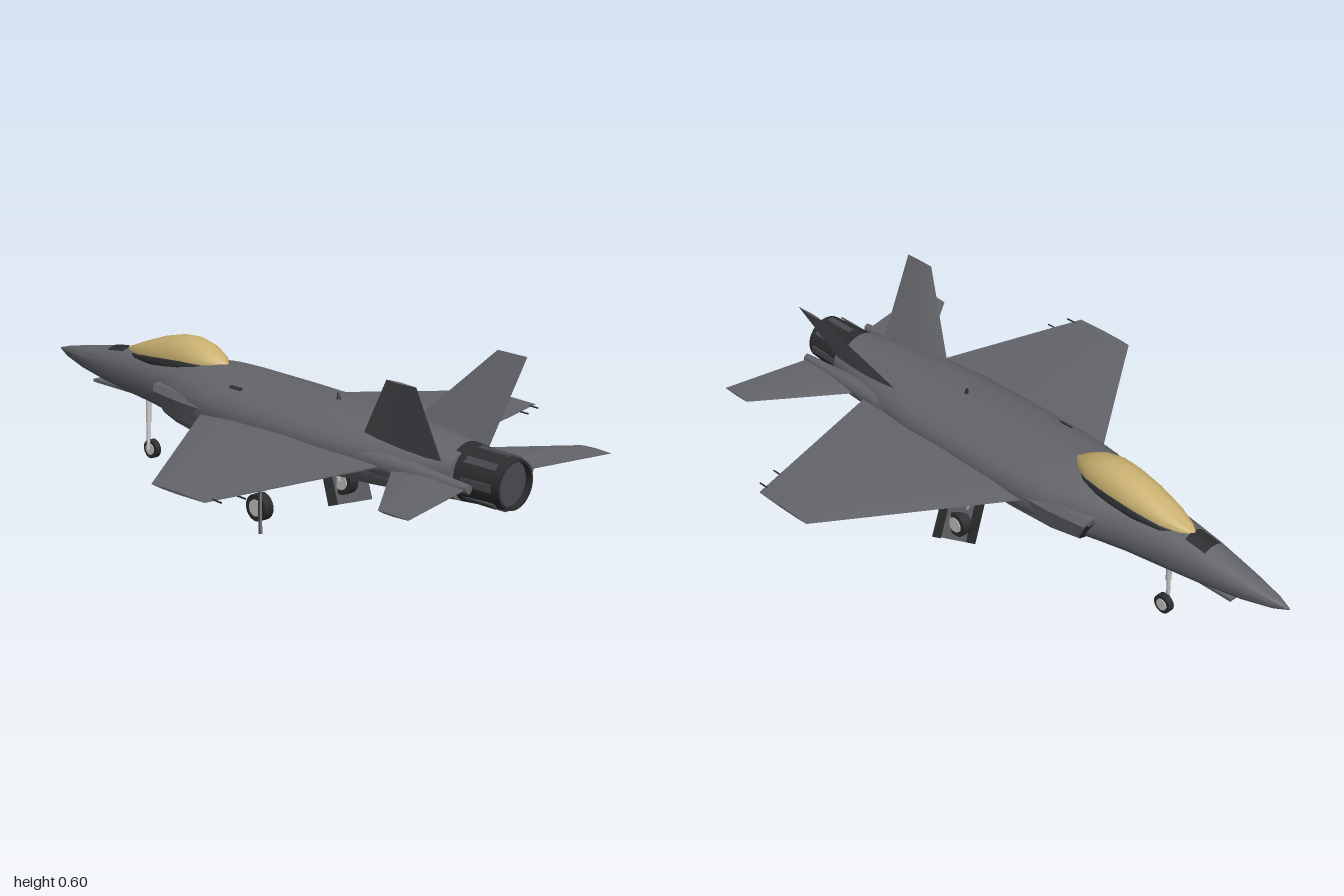
import * as THREE from 'three';
import { toCreasedNormals } from 'three/addons/utils/BufferGeometryUtils.js';

const V = (x, y, z) => new THREE.Vector3(x, y, z);
const paint = (name, color) => Object.assign(new THREE.MeshStandardMaterial({ color }), { name });

// Skin a list of rings (each a loop of Vector3) and close both ends
function loft(rings, crease = 0.6) {
  const n = rings[0].length, pos = [], idx = [];
  rings.forEach(r => r.forEach(p => pos.push(p.x, p.y, p.z)));
  for (let i = 0; i < rings.length - 1; i++)
    for (let j = 0; j < n; j++) {
      const a = i * n + j, b = i * n + (j + 1) % n;
      idx.push(a, b, a + n, b, b + n, a + n);
    }
  [0, rings.length - 1].forEach((k, end) => {
    const c = rings[k].reduce((s, p) => s.add(p), V(0, 0, 0)).divideScalar(n);
    const ci = pos.length / 3;
    pos.push(c.x, c.y, c.z);
    for (let j = 0; j < n; j++) {
      const a = k * n + j, b = k * n + (j + 1) % n;
      end ? idx.push(ci, a, b) : idx.push(ci, b, a);
    }
  });
  // turn the faces outward when the loop runs the other way
  const at = i => V(pos[3 * i], pos[3 * i + 1], pos[3 * i + 2]);
  const mid = at(pos.length / 3 - 1);
  let volume = 0;
  for (let i = 0; i < idx.length; i += 3)
    volume += at(idx[i]).sub(mid).dot(at(idx[i + 1]).sub(mid).cross(at(idx[i + 2]).sub(mid)));
  if (volume < 0) idx.reverse();
  const g = new THREE.BufferGeometry();
  g.setAttribute('position', new THREE.Float32BufferAttribute(pos, 3));
  g.setIndex(idx);
  return toCreasedNormals(g, crease);
}

// Rounded cross-section facing z; up and down are heights from y
function ring(x, y, z, hw, up, down = up, nUp = 2, nDown = 2, count = 36) {
  const pw = (v, n) => Math.sign(v) * Math.abs(v) ** (2 / n);
  return Array.from({ length: count }, (_, i) => {
    const a = i / count * Math.PI * 2, s = Math.sin(a), n = s > 0 ? nUp : nDown;
    return V(x + hw * pw(Math.cos(a), n), y + (s > 0 ? up : down) * pw(s, n), z);
  });
}

// Tapered lifting surface; each station is [x, y, leading z, trailing z, thickness]
function foil(stations, nx, ny) {
  return loft(stations.map(([x, y, le, te, t]) =>
    [[0, 0], [0.2, 0.4], [0.5, 0.5], [1, 0.08], [1, -0.08], [0.5, -0.5], [0.2, -0.4]].map(([u, v]) =>
      V(x + nx * v * t, y + ny * v * t, le + (te - le) * u))), 0.35);
}

// Thin plate from four corners
function plate(a, b, c, d, t = 0.006) {
  const n = b.clone().sub(a).cross(d.clone().sub(a)).normalize().multiplyScalar(t / 2);
  const edge = (p, q) => [p.clone().add(n), q.clone().add(n), q.clone().sub(n), p.clone().sub(n)];
  return loft([edge(a, b), edge(d, c)]);
}

function rod(a, b, r0, r1 = r0) {
  const d = b.clone().sub(a), m = a.clone().add(b).multiplyScalar(0.5);
  const g = new THREE.CylinderGeometry(r1, r0, d.length(), 10);
  g.applyQuaternion(new THREE.Quaternion().setFromUnitVectors(V(0, 1, 0), d.normalize()));
  return g.translate(m.x, m.y, m.z);
}

export function createModel() {
  const model = new THREE.Group();
  const grey = paint('hull grey', 0x63656a), dark = paint('dark trim', 0x2c2d2f);
  const gold = paint('canopy gold', 0xc9b070), metal = paint('bare metal', 0xc6c6c4);
  const soot = paint('exhaust grey', 0x4a4b4f);
  const add = (name, geo, mat) => {
    const m = new THREE.Mesh(geo, mat);
    m.name = name;
    model.add(m);
    return m;
  };

  // Fuselage: z, half width, top, bottom
  const hull = [
    [-1, 0.002, 0.322, 0.318], [-0.95, 0.02, 0.337, 0.3], [-0.85, 0.042, 0.356, 0.28],
    [-0.7, 0.066, 0.384, 0.262], [-0.6, 0.079, 0.395, 0.254], [-0.45, 0.1, 0.406, 0.245],
    [-0.36, 0.12, 0.415, 0.239], [-0.2, 0.162, 0.425, 0.23], [-0.1, 0.174, 0.425, 0.223],
    [0.1, 0.178, 0.421, 0.215], [0.4, 0.176, 0.412, 0.215], [0.55, 0.16, 0.405, 0.22],
    [0.7, 0.128, 0.398, 0.227], [0.84, 0.1, 0.388, 0.237]];
  add('fuselage', loft(hull.map(([z, w, t, b]) => ring(0, 0.32, z, w, t - 0.32, 0.32 - b, 2.1, 2.8))), grey);

  // Dark sensor panel ahead of the canopy
  const strip = (z, top) => {
    const xs = [-0.034, -0.017, 0, 0.017, 0.034];
    const over = xs.map(x => V(x, top - x * x * 9 + 0.004, z));
    return [...over, ...over.map(p => V(p.x, p.y - 0.008, z)).reverse()];
  };
  add('nosePanel', loft([strip(-0.71, 0.382), strip(-0.635, 0.391)]), dark);

  // Canopy: z, half width, sill height, top
  const glass = [
    [-0.645, 0.004, 0.388, 0.393], [-0.61, 0.028, 0.39, 0.406], [-0.55, 0.05, 0.394, 0.43],
    [-0.46, 0.065, 0.4, 0.462], [-0.38, 0.07, 0.405, 0.482], [-0.32, 0.07, 0.41, 0.486],
    [-0.26, 0.062, 0.414, 0.474], [-0.21, 0.042, 0.417, 0.45], [-0.17, 0.005, 0.42, 0.425]];
  add('canopy', loft(glass.map(([z, w, y, t]) => ring(0, y, z, w, t - y, 0.02))), gold);
  add('canopyFrame', loft(glass.map(([z, w, y, t]) =>
    ring(0, y - 0.012, z * 1.015 + 0.006, w * 1.1, (t - y) * 0.55 + 0.006, 0.03))), dark);

  // Engine nozzle with petals
  const lathe = (pts, sides) => new THREE.LatheGeometry(pts.map(p => new THREE.Vector2(...p)), sides)
    .rotateX(Math.PI / 2).translate(0, 0.312, 0);
  add('nozzle', toCreasedNormals(lathe([[0.086, 0.82], [0.081, 0.88], [0.073, 0.995], [0.066, 0.995], [0.066, 0.97]], 32), 0.6), dark);
  add('exhaustDisc', new THREE.CircleGeometry(0.068, 32).translate(0, 0.312, 0.975), soot);
  for (let i = 0; i < 16; i += 2) {
    const petal = add('nozzlePetal', new THREE.BoxGeometry(0.022, 0.006, 0.11), soot);
    const a = i / 16 * Math.PI * 2;
    petal.position.set(0.079 * Math.cos(a), 0.312 + 0.079 * Math.sin(a), 0.915);
    petal.rotation.z = a - Math.PI / 2;
  }

  // Wheel with its axle along x
  const wheel = (name, x, y, z, r, w) => {
    add(name + 'Tire', new THREE.CylinderGeometry(r, r, w, 24).rotateZ(Math.PI / 2).translate(x, y, z), dark);
    add(name + 'Hub', new THREE.CylinderGeometry(r * 0.62, r * 0.62, w + 0.006, 20).rotateZ(Math.PI / 2).translate(x, y, z), metal);
  };

  for (const s of [1, -1]) {
    add('wing', foil([[s * 0.1, 0.315, -0.158, 0.64, 0.036], [s * 0.18, 0.313, -0.1, 0.62, 0.032],
      [s * 0.69, 0.298, 0.27, 0.49, 0.007]], 0, 1), grey);
    add('tailplane', foil([[s * 0.11, 0.314, 0.64, 0.925, 0.02], [s * 0.425, 0.31, 0.88, 0.99, 0.006]], 0, 1), grey);
    add('fin', foil([[s * 0.1, 0.36, 0.505, 0.81, 0.016], [s * 0.23, 0.6, 0.72, 0.83, 0.006]], 0.88, -s * 0.47), grey);

    // Boom carrying the tailplane
    add('tailBoom', loft([[0.35, 0.03], [0.55, 0.034], [0.75, 0.027], [0.85, 0.018], [0.94, 0.012]].map(([z, r]) =>
      ring(s * 0.13, 0.315, z, r, r * 1.1, r * 1.1, 2, 2, 16))), grey);

    // Air intake with raked lip
    const duct = (z, out, top, bottom, rake) => [
      [0.06, top + 0.005], [out - 0.015, top], [out, top - 0.02], [out - 0.012, bottom + 0.035],
      [out - 0.045, bottom], [0.06, bottom]].map(([x, y]) => V(s * x, y, z + (top - y) * rake));
    add('intake', loft([duct(-0.36, 0.154, 0.352, 0.236, 0.6), duct(-0.22, 0.17, 0.35, 0.228, 0.3),
      duct(-0.02, 0.174, 0.345, 0.222, 0)], 0.4), grey);
    add('intakeMouth', plate(V(s * 0.112, 0.342, -0.357), V(s * 0.144, 0.336, -0.354),
      V(s * 0.13, 0.265, -0.311), V(s * 0.1, 0.25, -0.302), 0.008), dark);

    // Trailing edge static rods
    for (const x of [0.59, 0.66])
      add('staticRod', rod(V(s * x, 0.3, 0.49), V(s * x, 0.299, x > 0.6 ? 0.525 : 0.545), 0.0025), dark);

    // Main gear: angled door of three strips, strut and wheel
    const A = V(s * 0.2, 0.267, 0.19), B = V(s * 0.12, 0.235, 0.09);
    const C = V(s * 0.145, 0.003, 0.13), D = V(s * 0.235, 0.03, 0.23);
    const cut = (u, v) => plate(B.clone().lerp(A, u), B.clone().lerp(A, v), C.clone().lerp(D, v), C.clone().lerp(D, u));
    add('gearDoorInnerEdge', cut(0, 0.22), dark);
    add('gearDoor', cut(0.22, 1), grey);
    const lift = V(s * 0.004, 0, -0.004);
    const rim = (u, v) => plate(...[B.clone().lerp(A, u), B.clone().lerp(A, v), C.clone().lerp(D, v), C.clone().lerp(D, u)]
      .map(p => p.add(lift)), 0.004);
    add('gearDoorOuterEdge', rim(0.8, 1), dark);
    add('mainStrut', rod(V(s * 0.148, 0.27, 0.135), V(s * 0.16, 0.09, 0.16), 0.009, 0.007), metal);
    add('mainBrace', rod(V(s * 0.17, 0.27, 0.09), V(s * 0.16, 0.13, 0.15), 0.005), metal);
    wheel('mainWheel', s * 0.18, 0.086, 0.165, 0.042, 0.034);
  }

  // Nose gear and its forward door
  add('noseStrut', rod(V(0, 0.27, -0.55), V(-0.008, 0.16, -0.542), 0.009), metal);
  add('noseFork', rod(V(-0.008, 0.17, -0.543), V(-0.017, 0.07, -0.535), 0.006), metal);
  wheel('noseWheel', 0, 0.07, -0.535, 0.031, 0.02);
  add('noseDoor', new THREE.BoxGeometry(0.045, 0.009, 0.25).translate(0, 0.25, -0.68), grey);

  // Small antennas and dorsal slot
  add('dorsalAntenna', rod(V(0, 0.405, 0.315), V(0, 0.433, 0.31), 0.009, 0.003), dark);
  add('ventralAntenna', rod(V(0, 0.235, -0.145), V(0, 0.198, -0.14), 0.008, 0.003), dark);
  const slot = add('dorsalSlot', new THREE.BoxGeometry(0.012, 0.008, 0.05), dark);
  slot.position.set(-0.11, 0.4, -0.012);
  slot.rotation.z = 0.5;
  return model;
}
